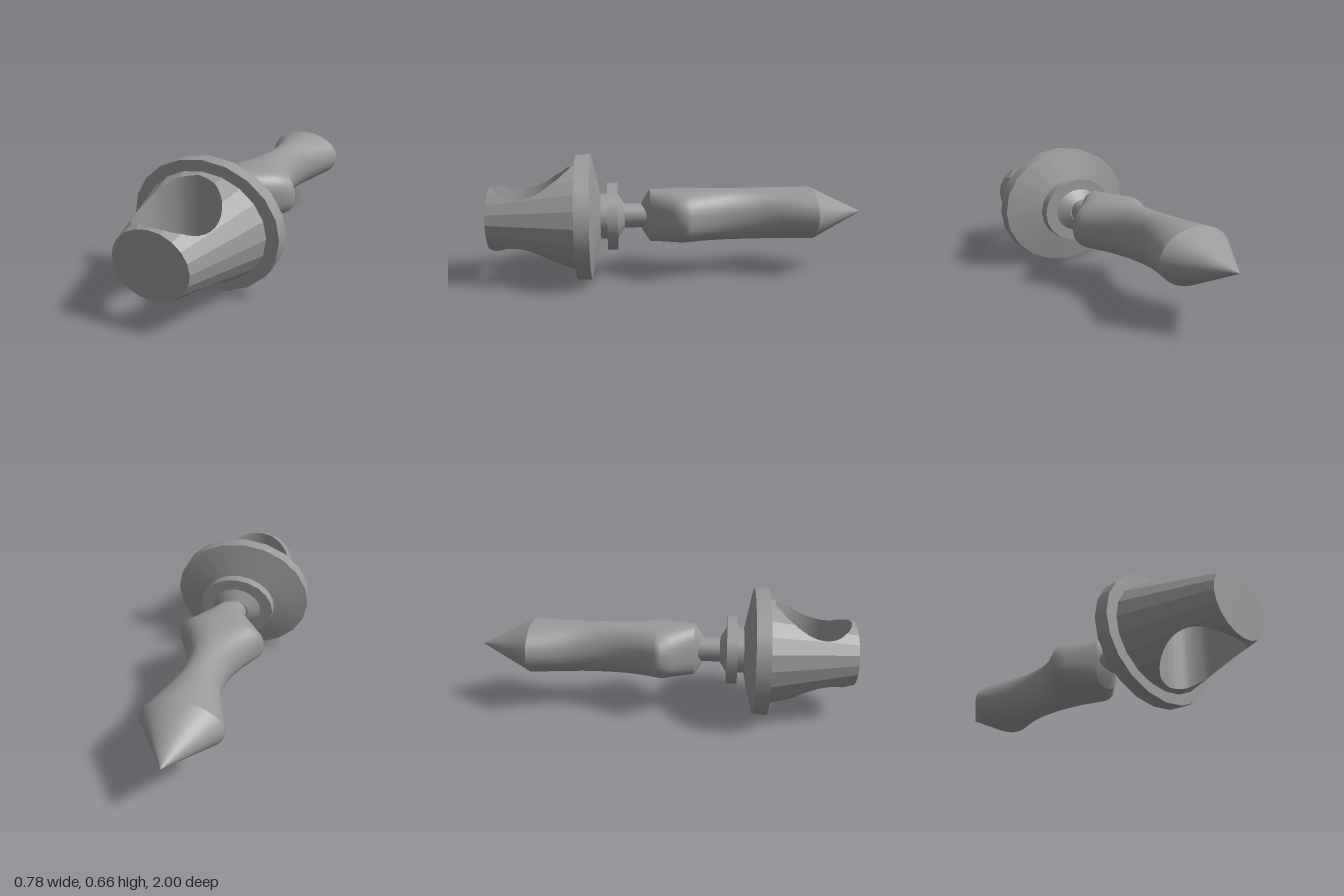
import * as THREE from 'three';
import { mergeVertices } from 'three/addons/utils/BufferGeometryUtils.js';

const FLAT = 0.85; // round parts are squashed in height
const AXIS_Y = 0.332;

// Four-cornered patches gathered into one geometry
function quadGeometry(quads, smooth) {
  const pos = [];
  for (const [a, b, c, d] of quads) pos.push(...a, ...b, ...c, ...a, ...c, ...d);
  let geo = new THREE.BufferGeometry();
  geo.setAttribute('position', new THREE.Float32BufferAttribute(pos, 3));
  if (smooth) geo = mergeVertices(geo, 1e-4);
  geo.computeVertexNormals();
  return geo;
}

// Tapered grip with a round hole cut through it from top to bottom
function handleGeometries() {
  const z0 = 0.55, z1 = 1, zc = 0.78, hole = 0.2, m = (0.325 - 0.195) / (z1 - z0);
  const radius = z => 0.325 - m * (z - z0);
  const R = radius(zc), sides = 20;
  const kMax = Math.sqrt(hole * hole / (R * R - hole * hole * m * m));

  // height of the polygon section at sideways fraction k
  const corners = [];
  for (let i = 0; i <= sides / 2; i++) {
    const a = -Math.PI / 2 + i * 2 * Math.PI / sides;
    corners.push([Math.sin(a), Math.cos(a)]);
  }
  const height = k => {
    for (let i = 1; i < corners.length; i++) {
      const [ka, ha] = corners[i - 1], [kb, hb] = corners[i];
      if (k <= kb + 1e-9) return ha + (hb - ha) * (k - ka) / (kb - ka);
    }
    return 0;
  };
  const point = (k, z, s) => [k * radius(z), s * height(k) * radius(z) * FLAT, z];

  // where the line at fraction k enters and leaves the hole
  const cut = k => {
    const a = k * k * m * m + 1, b = -2 * k * k * R * m, c = k * k * R * R - hole * hole;
    const d = Math.sqrt(Math.max(0, b * b - 4 * a * c));
    return [zc + (-b - d) / (2 * a), zc + (-b + d) / (2 * a)];
  };

  const ks = corners.map(c => c[0]);
  for (let j = 0; j <= 20; j++) ks.push(kMax * Math.sin(-Math.PI / 2 + j * Math.PI / 20));
  ks.sort((a, b) => a - b);

  const shell = [], bore = [];
  const skin = (ka, kb, a0, a1, b0, b1) => {
    for (const s of [1, -1]) {
      const q = [point(ka, a0, s), point(ka, a1, s), point(kb, b1, s), point(kb, b0, s)];
      shell.push(s > 0 ? q : q.reverse());
    }
  };
  const upright = (ka, kb, za, zb) =>
    [point(ka, za, -1), point(kb, zb, -1), point(kb, zb, 1), point(ka, za, 1)];

  for (let i = 1; i < ks.length; i++) {
    const ka = ks[i - 1], kb = ks[i];
    if (kb - ka < 1e-6) continue;
    if (Math.max(Math.abs(ka), Math.abs(kb)) <= kMax + 1e-6) {
      const [al, ah] = cut(ka), [bl, bh] = cut(kb);
      skin(ka, kb, z0, al, z0, bl);
      skin(ka, kb, ah, z1, bh, z1);
      bore.push(upright(ka, kb, al, bl), upright(ka, kb, ah, bh).reverse());
    } else skin(ka, kb, z0, z1, z0, z1);
    shell.push(upright(ka, kb, z1, z1));
  }
  return [quadGeometry(shell, false), quadGeometry(bore, true)];
}

// Smooth skin through rounded sections [z, half width, half height, squareness]
function loft(sections, n = 40) {
  const pos = [], index = [];
  const power = (v, p) => Math.sign(v) * Math.pow(Math.abs(v), 2 / p);
  for (const [z, rx, ry, p = 2] of sections)
    for (let j = 0; j < n; j++) {
      const a = j * 2 * Math.PI / n;
      pos.push(rx * power(Math.cos(a), p), ry * power(Math.sin(a), p), z);
    }
  for (let i = 0; i < sections.length - 1; i++)
    for (let j = 0; j < n; j++) {
      const a = i * n + j, b = i * n + (j + 1) % n;
      index.push(a, b, b + n, a, b + n, a + n);
    }
  const geo = new THREE.BufferGeometry();
  geo.setAttribute('position', new THREE.Float32BufferAttribute(pos, 3));
  geo.setIndex(index);
  geo.computeVertexNormals();
  return geo;
}

export function createModel() {
  const group = new THREE.Group();
  group.name = 'handledSpike';
  const grey = new THREE.MeshStandardMaterial({ color: 0x999999 });
  grey.name = 'grey';

  const add = (name, geo) => {
    const mesh = new THREE.Mesh(geo, grey);
    mesh.name = name;
    mesh.position.y = AXIS_Y;
    group.add(mesh);
  };
  // Ring along z from a back radius to a front radius
  const ring = (name, zBack, zFront, rBack, rFront, sides, squash = FLAT) => {
    const geo = new THREE.CylinderGeometry(rFront, rBack, zFront - zBack, sides);
    geo.rotateX(Math.PI / 2).scale(1, squash, 1).translate(0, 0, (zFront + zBack) / 2);
    add(name, geo);
  };

  // Handle
  const [shell, bore] = handleGeometries();
  add('handle', shell);
  add('handleHole', bore);

  // Guard and collar
  ring('guardRim', 0.475, 0.55, 0.39, 0.39, 20);
  ring('guardSlope', 0.42, 0.475, 0.1, 0.39, 20);
  ring('innerCollar', 0.385, 0.425, 0.14, 0.14, 20);
  ring('outerCollar', 0.335, 0.39, 0.21, 0.21, 20);
  ring('collarTaper', 0.3, 0.335, 0.075, 0.14, 20);
  ring('neck', 0.15, 0.31, 0.065, 0.065, 20, 1);

  // Waisted body, its front cap and the pointed tip
  add('body', loft([
    [-0.71, 0.207, 0.14], [-0.62, 0.175, 0.14], [-0.53, 0.142, 0.14],
    [-0.44, 0.113, 0.14], [-0.35, 0.108, 0.14], [-0.26, 0.113, 0.14, 2.1],
    [-0.18, 0.138, 0.14, 2.2], [-0.1, 0.173, 0.14, 2.3], [-0.04, 0.21, 0.14, 2.4],
    [0, 0.233, 0.14, 2.4], [0.05, 0.188, 0.14, 2.4], [0.11, 0.132, 0.14, 2.4],
    [0.165, 0.082, 0.14, 2.4],
  ]));
  add('bodyCap', loft([[0.165, 0.082, 0.14, 2.4], [0.21, 0.04, 0.068], [0.21, 0, 0]]));
  add('tip', loft([[-1, 0, 0], [-0.9, 0.0714, 0.0483], [-0.8, 0.1428, 0.0966], [-0.71, 0.207, 0.14]]));
  return group;
}
